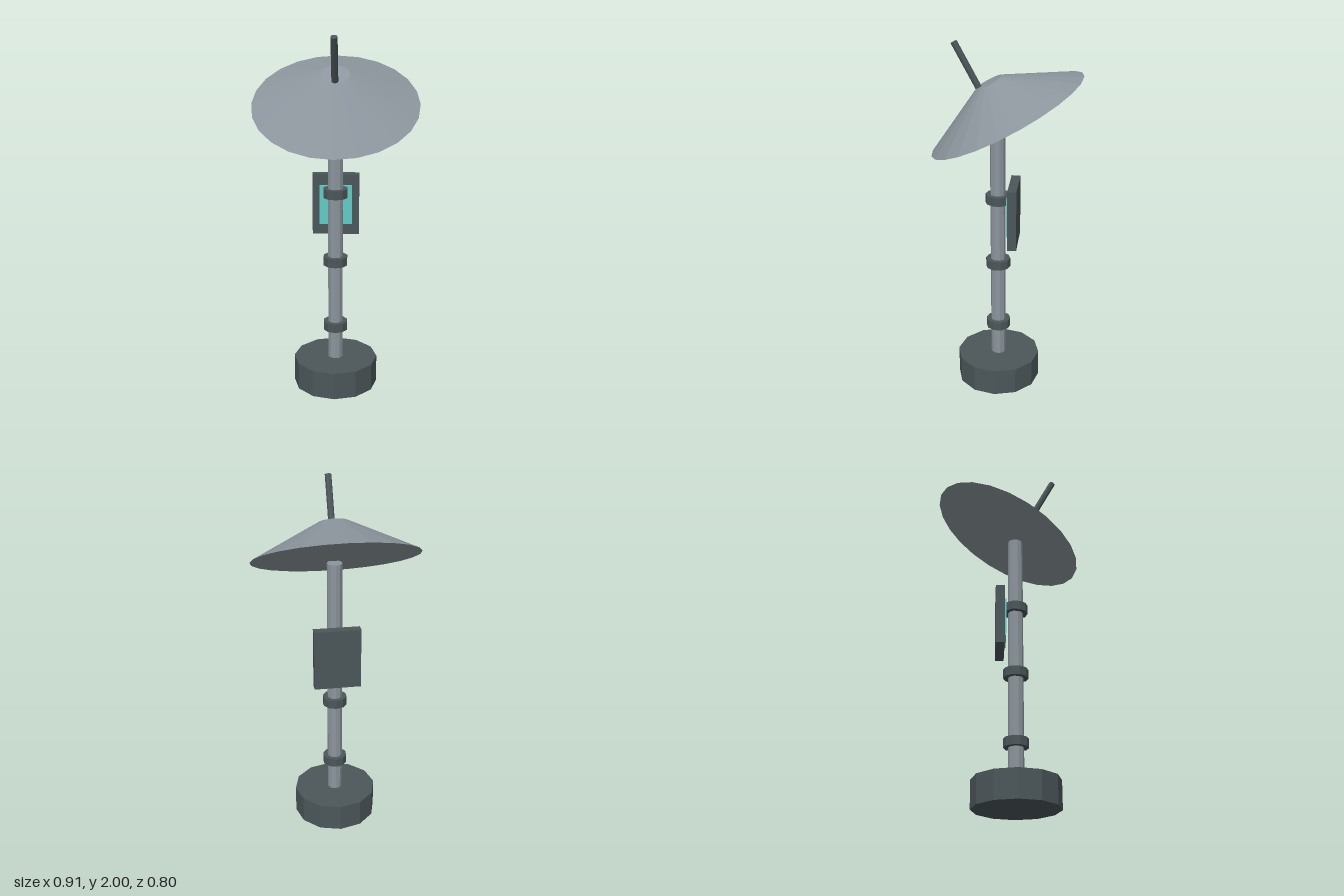
import * as THREE from 'three';

export function createModel() {
  const model = new THREE.Group();
  const material = (name, color) => {
    const m = new THREE.MeshStandardMaterial({ color, flatShading: true });
    m.name = name;
    return m;
  };
  const darkMetal = material('dark metal', 0x4c5659);
  const lightMetal = material('light metal', 0x8c959d);
  const screenTeal = material('screen teal', 0x62cbc6);

  const add = (parent, name, geometry, mat, x, y, z) => {
    const mesh = new THREE.Mesh(geometry, mat);
    mesh.name = name;
    mesh.position.set(x, y, z);
    parent.add(mesh);
    return mesh;
  };

  // Base, mast and its collars share one vertical axis
  const mastZ = 0.048;
  add(model, 'base', new THREE.CylinderGeometry(0.237, 0.237, 0.156, 12), darkMetal, 0, 0.078, mastZ);
  add(model, 'mast', new THREE.CylinderGeometry(0.0425, 0.0425, 1.415, 10), lightMetal, 0, 0.8625, mastZ);
  for (const y of [0.351, 0.742, 1.133]) {
    add(model, 'collar', new THREE.CylinderGeometry(0.069, 0.069, 0.05, 10), darkMetal, 0, y, mastZ);
  }

  // Control panel behind the mast, with its screen facing forward
  add(model, 'panel', new THREE.BoxGeometry(0.26, 0.345, 0.05), darkMetal, 0, 1.048, -0.04);
  add(model, 'screen', new THREE.BoxGeometry(0.18, 0.223, 0.009), screenTeal, 0, 1.048, -0.0105);

  // Tilted dish with the antenna standing on the front edge of its cap
  const head = new THREE.Group();
  head.name = 'dishHead';
  head.position.set(0, 1.6125, 0);
  head.rotation.x = THREE.MathUtils.degToRad(28);
  model.add(head);
  add(head, 'dish', new THREE.CylinderGeometry(0.078, 0.455, 0.195, 24), lightMetal, 0, 0.0975, 0);
  add(head, 'antenna', new THREE.CylinderGeometry(0.018, 0.018, 0.268, 8), darkMetal, 0, 0.329, 0.064);

  return model;
}
